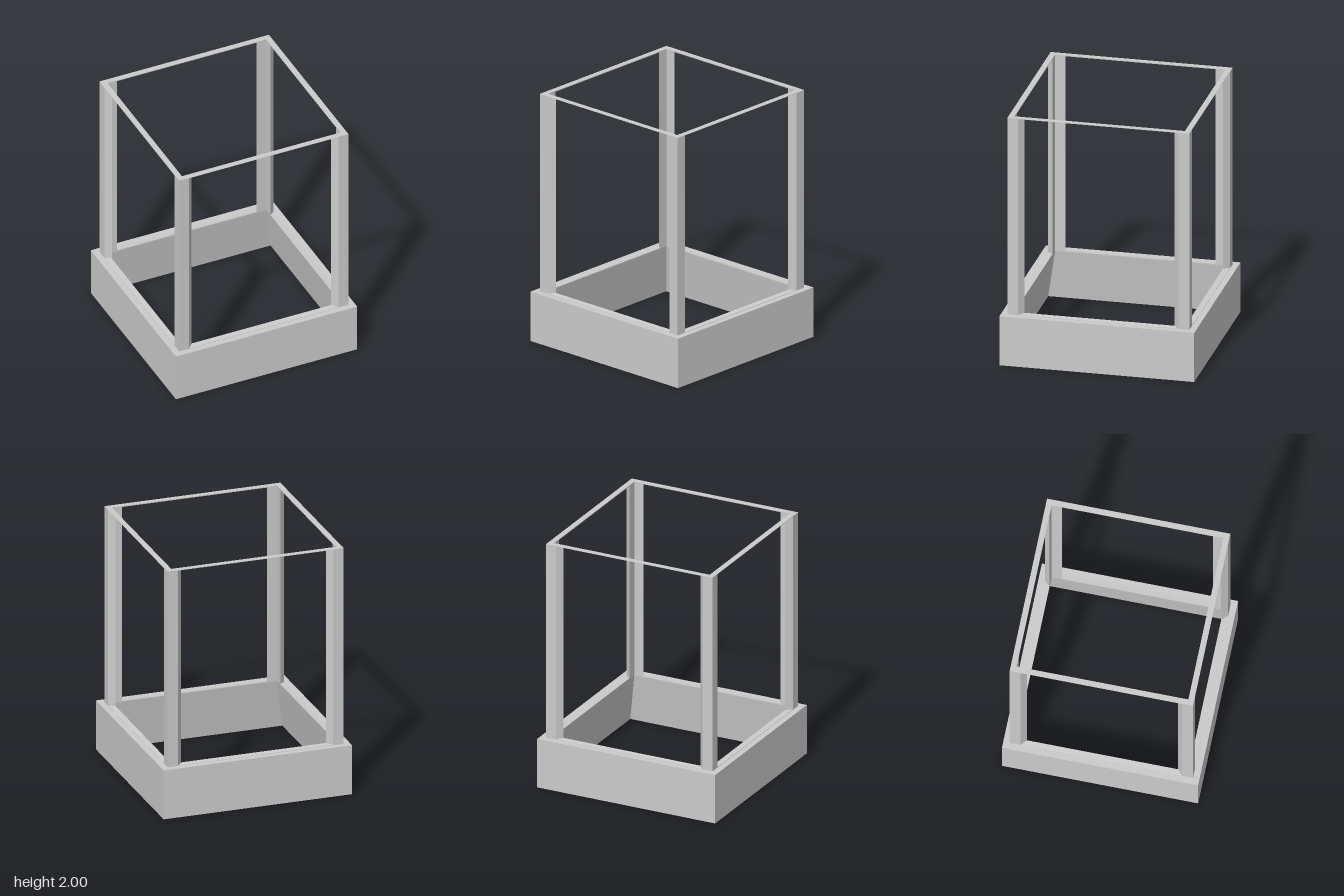
import * as THREE from 'three';

const material = new THREE.MeshStandardMaterial({ color: 0xcccccc, flatShading: true });

// Joins four-cornered rings, each to the next and the last to the first.
// keep(band, side) can leave out hidden faces.
function loft(rings, keep = () => true) {
  const positions = [];
  rings.forEach((a, band) => {
    const b = rings[(band + 1) % rings.length];
    for (let i = 0; i < 4; i++) {
      if (!keep(band, i)) continue;
      const j = (i + 1) % 4;
      for (const p of [a[i], a[j], b[j], a[i], b[j], b[i]]) positions.push(...p);
    }
  });
  const geometry = new THREE.BufferGeometry();
  geometry.setAttribute('position', new THREE.Float32BufferAttribute(positions, 3));
  geometry.computeVertexNormals();
  return geometry;
}

// Level square ring and upright rectangular ring
const squareRing = (s, y) => [[-s, y, s], [s, y, s], [s, y, -s], [-s, y, -s]];
const uprightRing = (w, y0, y1, z) => [[-w, y0, z], [w, y0, z], [w, y1, z], [-w, y1, z]];

function addMesh(parent, name, geometry) {
  const mesh = new THREE.Mesh(geometry, material);
  mesh.name = name;
  parent.add(mesh);
  return mesh;
}

export function createModel() {
  const model = new THREE.Group();
  model.name = 'openFrameOnBase';

  // Open base whose inner walls lean inwards towards the top
  addMesh(model, 'base', loft([
    squareRing(0.76, 0),
    squareRing(0.76, 0.4),
    squareRing(0.665, 0.4),
    squareRing(0.735, 0),
  ]));

  // Four mitred side frames with splayed openings: wide posts, very thin rails
  const frameGeometry = loft([
    uprightRing(0.71, 0.4, 2, 0.71),
    uprightRing(0.625, 0.403, 1.997, 0.71),
    uprightRing(0.585, 0.407, 1.993, 0.665),
    uprightRing(0.665, 0.4, 2, 0.665),
  ], (band, side) => band < 3 || side === 2);

  ['frontFrame', 'leftFrame', 'backFrame', 'rightFrame'].forEach((name, i) => {
    addMesh(model, name, frameGeometry).rotation.y = i * Math.PI / 2;
  });

  return model;
}
